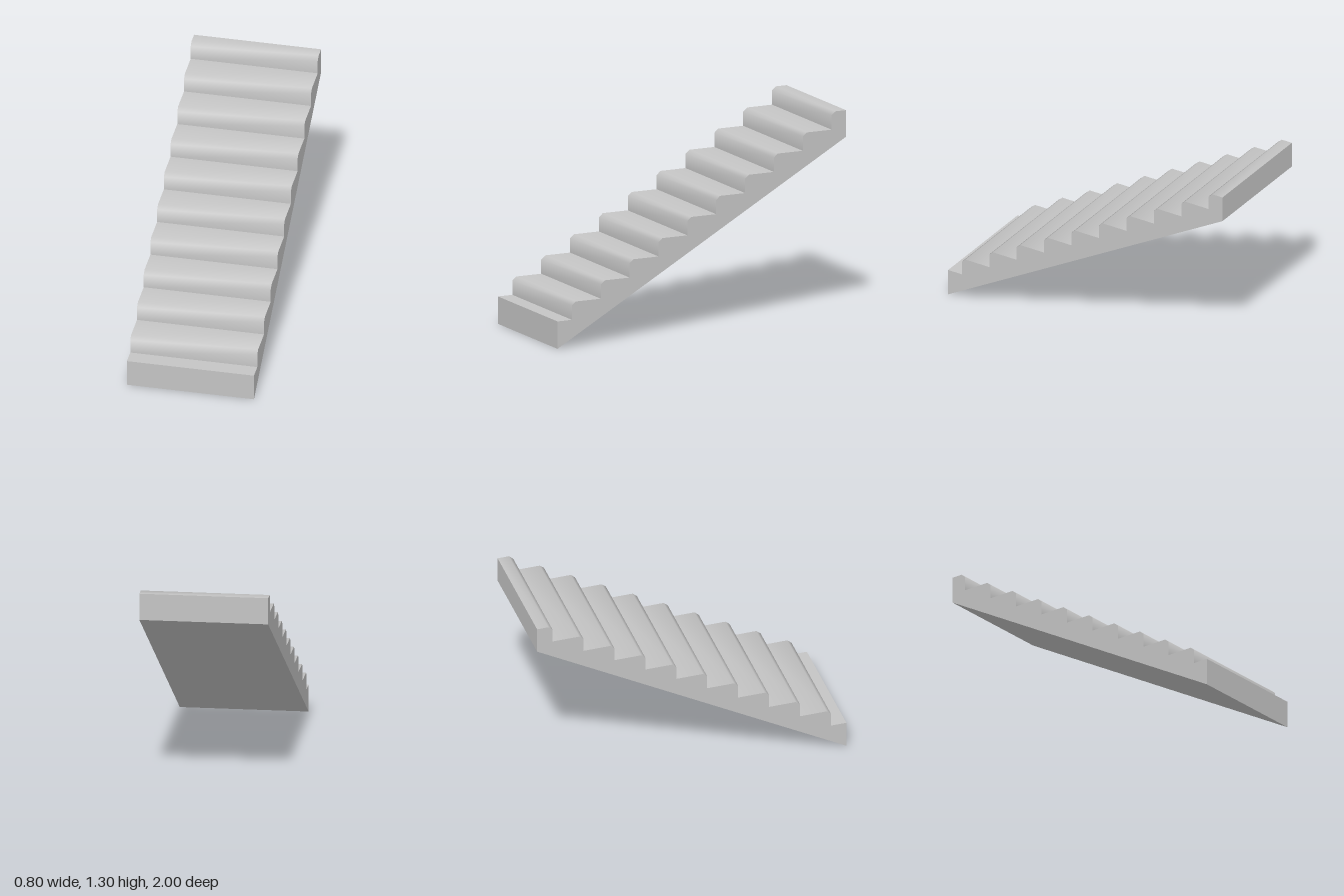
import * as THREE from 'three';
import { toCreasedNormals } from 'three/addons/utils/BufferGeometryUtils.js';

const WIDTH = 0.8, STEPS = 10, GOING = 0.2, RISE = 0.113;
const FIRST_TOP = 0.173, SOFFIT_TOP = 1.135, NOSE_Z = 0.027, NOSE_Y = 0.023;

export function createModel() {
  const group = new THREE.Group();
  group.name = 'staircase';
  const concrete = new THREE.MeshStandardMaterial({ color: 0xc4c4c4 });
  concrete.name = 'grey concrete';

  // Side profile: horizontal axis runs from the front (-1) to the back (+1)
  const profile = new THREE.Shape();
  profile.moveTo(-1, 0);
  profile.lineTo(1, SOFFIT_TOP); // sloping underside
  profile.lineTo(1, FIRST_TOP + STEPS * RISE);
  // Steps from the top down, each with a chamfered nosing
  for (let i = STEPS; i > 0; i--) {
    const riser = -0.9 + (i - 1) * GOING;
    const top = FIRST_TOP + i * RISE;
    profile.lineTo(riser + NOSE_Z, top);
    profile.lineTo(riser, top - NOSE_Y);
    profile.lineTo(riser, top - RISE);
  }
  profile.lineTo(-1, FIRST_TOP);
  profile.closePath();

  // Extrude across the width; nosings shade smoothly, other corners stay sharp
  let flight = new THREE.ExtrudeGeometry(profile, { depth: WIDTH, bevelEnabled: false });
  flight.translate(0, 0, -WIDTH / 2);
  flight.rotateY(Math.PI / 2);
  flight = toCreasedNormals(flight, THREE.MathUtils.degToRad(55));

  const mesh = new THREE.Mesh(flight, concrete);
  mesh.name = 'stairFlight';
  group.add(mesh);
  return group;
}
